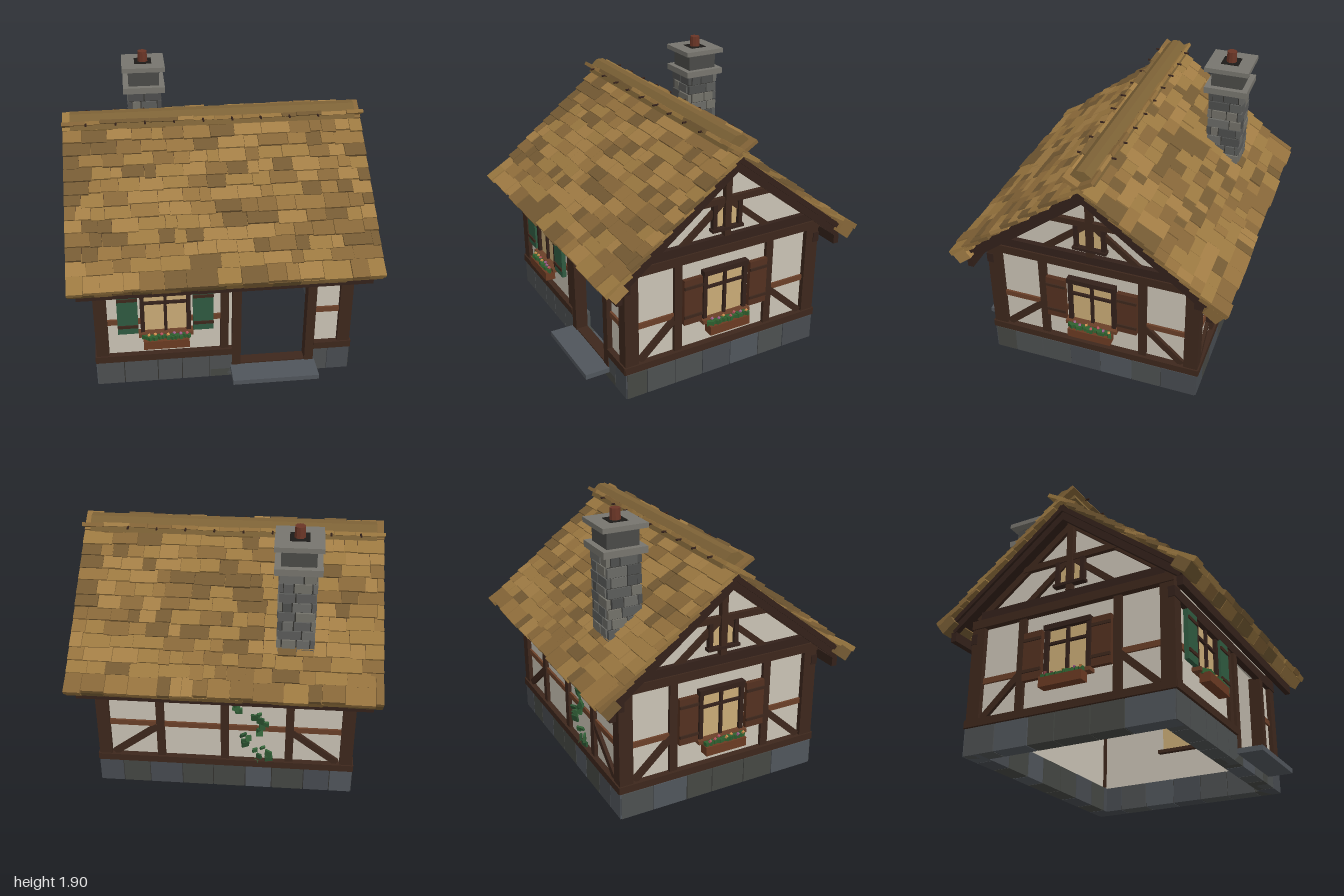
import * as THREE from 'three';
import { mergeGeometries } from 'three/addons/utils/BufferGeometryUtils.js';

const C = {
  timber: 0x3d271c, darkTimber: 0x33211a, rail: 0x6a3f28, plaster: 0xc9c2b4, pane: 0xc9ab76,
  green: 0x2f5a40, red: 0x53301f, planter: 0x6a3a22, leaf: 0x2f6130, ridge: 0x7d6236, black: 0x1c1a18,
  capStone: 0x77756e, collar: 0x4a4a47, mortar: 0x33322f, pot: 0x6a3526,
};
const SHINGLES = [0xa27d45, 0x94713d, 0x866638, 0x745a33, 0x9b7840];
const STONES = [0x474b50, 0x4c4f50, 0x454743, 0x50555b];
const BRICKS = [0x5b5c5a, 0x6a6a66, 0x4d4e4d, 0x737169];

let seed = 7;
const rnd = (a = 0, b = 1) => {
  seed = (seed * 16807) % 2147483647;
  return a + (b - a) * (seed / 2147483647);
};
const pick = (list) => list[Math.floor(rnd(0, list.length))];

const mats = {};
const mat = (color) => (mats[color] ??= new THREE.MeshStandardMaterial({ color, flatShading: true }));

function add(parent, name, geo, color) {
  const m = new THREE.Mesh(geo, mat(color));
  m.name = name;
  parent.add(m);
  return m;
}
// Box given by its minimum and maximum on each axis
function box(parent, name, color, x0, x1, y0, y1, z0, z1) {
  const m = add(parent, name, new THREE.BoxGeometry(x1 - x0, y1 - y0, z1 - z0), color);
  m.position.set((x0 + x1) / 2, (y0 + y1) / 2, (z0 + z1) / 2);
  return m;
}
// Slanted timber lying on a wall
function brace(parent, x0, y0, x1, y1, width = 0.045, depth = 0.025) {
  const m = add(parent, 'brace', new THREE.BoxGeometry(Math.hypot(x1 - x0, y1 - y0), width, depth), C.timber);
  m.position.set((x0 + x1) / 2, (y0 + y1) / 2, depth / 2 - 0.002);
  m.rotation.z = Math.atan2(y1 - y0, x1 - x0);
}
function group(parent, name) {
  const g = new THREE.Group();
  g.name = name;
  parent.add(g);
  return g;
}
// Collects many small boxes and merges them by colour
function pile(parent, name) {
  const byColor = {};
  return {
    put(color, w, h, d, x, y, z, rx = 0, ry = 0) {
      (byColor[color] ??= []).push(new THREE.BoxGeometry(w, h, d).rotateX(rx).rotateY(ry).translate(x, y, z));
    },
    done() {
      for (const c in byColor) add(parent, name, mergeGeometries(byColor[c]), Number(c));
    },
  };
}
// Calls fn(start, end) for uneven pieces filling a length
function pieces(from, to, min, max, fn) {
  let a = from;
  while (a < to - 0.001) {
    let b = a + rnd(min, max);
    if (to - b < min * 0.6) b = to;
    fn(a, b);
    a = b;
  }
}

// Wall frame: x along the wall, z outwards, z = 0 on the plaster face
function wall(parent, name, angle, dist, outline) {
  const g = group(parent, name);
  g.rotation.y = angle;
  g.position.set(Math.sin(angle) * dist, 0, Math.cos(angle) * dist);
  const shape = new THREE.Shape(outline.map(([x, y]) => new THREE.Vector2(x, y)));
  const geo = new THREE.ExtrudeGeometry(shape, { depth: 0.04, bevelEnabled: false });
  add(g, 'plaster', geo.translate(0, 0, -0.04), C.plaster);
  return g;
}

function window_(parent, cx, shutterColor) {
  const g = group(parent, 'window');
  g.position.x = cx;
  box(g, 'pane', C.pane, -0.14, 0.14, 0.42, 0.74, -0.045, 0.012);
  box(g, 'frameTop', C.darkTimber, -0.168, 0.168, 0.735, 0.77, 0, 0.045);
  box(g, 'transom', C.darkTimber, -0.14, 0.14, 0.633, 0.65, 0, 0.03);
  box(g, 'mullion', C.darkTimber, -0.01, 0.01, 0.42, 0.74, 0, 0.03);
  box(g, 'sill', C.rail, -0.18, 0.18, 0.395, 0.42, 0, 0.06);
  box(g, 'innerSill', C.timber, -0.17, 0.17, 0.395, 0.42, -0.08, -0.04);
  for (const s of [-1, 1]) {
    box(g, 'frameSide', C.darkTimber, s * 0.151 - 0.014, s * 0.151 + 0.014, 0.41, 0.75, 0, 0.035);
    box(g, 'shutter', shutterColor, s * 0.247 - 0.067, s * 0.247 + 0.067, 0.42, 0.745, 0.015, 0.045);
    for (const y of [0.48, 0.69])
      box(g, 'shutterBatten', C.timber, s * 0.247 - 0.067, s * 0.247 + 0.067, y - 0.01, y + 0.01, 0.04, 0.054);
  }
  box(g, 'flowerBox', C.planter, -0.15, 0.15, 0.328, 0.39, 0.035, 0.105);
  const plants = pile(g, 'flowers');
  for (let i = 0; i < 14; i++) {
    const x = -0.135 + i * 0.0208;
    plants.put(C.leaf, 0.022, rnd(0.025, 0.04), 0.045, x, 0.4, rnd(0.06, 0.08), 0, rnd(0, 1));
    if (i % 2) plants.put(pick([0xb0505a, 0xc78a4a, 0x9a5a86]), 0.016, 0.016, 0.016, x, 0.42, rnd(0.055, 0.09), 0.5, 0.5);
  }
  plants.done();
}

function frontWall(house) {
  const g = wall(house, 'frontWall', 0, 0.7,
    [[-0.82, 0.1], [0.08, 0.1], [0.08, 0.78], [0.58, 0.78], [0.58, 0.1], [0.82, 0.1], [0.82, 0.95], [-0.82, 0.95]]);
  box(g, 'sillBeam', C.timber, -0.86, 0.05, 0.185, 0.235, -0.01, 0.04);
  box(g, 'sillBeam', C.timber, 0.61, 0.86, 0.185, 0.235, -0.01, 0.04);
  box(g, 'topPlate', C.darkTimber, -0.86, 0.86, 0.76, 0.83, -0.01, 0.035);
  box(g, 'post', C.timber, -0.027, 0.027, 0.235, 0.76, -0.01, 0.025);
  for (const x of [0.08, 0.58]) box(g, 'doorJamb', C.timber, x - 0.03, x + 0.03, 0.09, 0.77, -0.05, 0.035);
  box(g, 'threshold', C.timber, 0.1, 0.56, 0.075, 0.1, -0.05, 0.03);
  for (const [a, b] of [[-0.78, -0.55], [-0.23, -0.02], [0.6, 0.78]])
    box(g, 'midRail', C.rail, a, b, 0.475, 0.513, -0.01, 0.015);
  window_(g, -0.39, C.green);
}

function backWall(house) {
  const g = wall(house, 'backWall', Math.PI, 0.7, [[-0.82, 0.1], [0.82, 0.1], [0.82, 0.95], [-0.82, 0.95]]);
  box(g, 'sillBeam', C.timber, -0.86, 0.86, 0.185, 0.235, -0.01, 0.04);
  box(g, 'topPlate', C.darkTimber, -0.86, 0.86, 0.76, 0.83, -0.01, 0.035);
  box(g, 'midRail', C.rail, -0.78, 0.78, 0.475, 0.513, -0.01, 0.015);
  for (const x of [-0.43, 0, 0.43]) box(g, 'post', C.timber, x - 0.027, x + 0.027, 0.235, 0.76, -0.01, 0.025);
  for (const s of [-1, 1]) brace(g, s * 0.75, 0.24, s * 0.45, 0.475);
  const ivy = pile(g, 'ivy');
  for (let i = 0; i < 22; i++) {
    const y = 0.22 + i * 0.025, size = rnd(0.03, 0.055);
    ivy.put(pick([0x2a5230, 0x336238]), size, size, 0.015, 0.2 + 0.07 * Math.sin(i * 0.6) + rnd(-0.06, 0.06), y,
      0.025, rnd(-0.5, 0.5), rnd(-0.6, 0.6));
  }
  ivy.done();
}

function gableWall(house, side) {
  const g = wall(house, side > 0 ? 'leftGable' : 'rightGable', side * Math.PI / 2, 0.82,
    [[-0.7, 0.1], [0.7, 0.1], [0.7, 0.96], [0, 1.51], [-0.7, 0.96]]);
  box(g, 'sillBeam', C.timber, -0.735, 0.735, 0.185, 0.235, -0.01, 0.045);
  box(g, 'tieBeam', C.timber, -0.73, 0.73, 0.865, 0.925, -0.01, 0.045);
  box(g, 'upperTieBeam', C.darkTimber, -0.67, 0.67, 0.925, 0.985, -0.01, 0.035);
  box(g, 'collarBeam', C.timber, -0.36, 0.36, 1.205, 1.247, -0.01, 0.03);
  box(g, 'kingPost', C.timber, -0.022, 0.022, 0.985, 1.5, -0.01, 0.04);
  box(g, 'atticPane', C.pane, -0.085, 0.085, 1.04, 1.205, -0.045, 0.01);
  box(g, 'atticSill', C.darkTimber, -0.115, 0.115, 1.027, 1.047, 0, 0.045);
  for (const s of [-1, 1]) {
    box(g, 'atticFrame', C.darkTimber, s * 0.092 - 0.014, s * 0.092 + 0.014, 1.03, 1.21, 0, 0.035);
    box(g, 'post', C.timber, s * 0.345 - 0.027, s * 0.345 + 0.027, 0.235, 0.87, -0.01, 0.025);
    const [a, b] = s > 0 ? [0.17, 0.66] : [-0.66, -0.17];
    box(g, 'midRail', C.rail, a, b, 0.475, 0.513, -0.01, 0.015);
    brace(g, s * 0.62, 0.24, s * 0.36, 0.48);
    brace(g, s * 0.32, 0.97, s * 0.01, 1.225, 0.04);
    brace(g, s * 0.7, 0.935, 0, 1.485, 0.05);
  }
  window_(g, 0, C.red);
}

function foundation(house) {
  const g = group(house, 'foundation');
  const stones = pile(g, 'foundationStones');
  const put = (w, h, d, x, z) => stones.put(pick(STONES), w, h, d, x, h / 2, z);
  for (const s of [-1, 1]) {
    pieces(-0.86, 0.86, 0.15, 0.24, (a, b) => {
      const low = s > 0 && a < 0.56 && b > 0.1;
      if (!low) return put(b - a - 0.006, 0.178, 0.12, (a + b) / 2, s * 0.67);
      // Stones under the doorway are cut low
      put(b - a - 0.006, 0.06, 0.12, (a + b) / 2, s * 0.67);
      if (a < 0.07) box(g, 'doorStone', STONES[1], a, 0.07, 0, 0.178, 0.61, 0.73);
      if (b > 0.59) box(g, 'doorStone', STONES[1], 0.59, b, 0, 0.178, 0.61, 0.73);
    });
    pieces(-0.725, 0.725, 0.18, 0.25, (a, b) => put(0.12, 0.178, b - a - 0.006, s * 0.802, (a + b) / 2));
    box(g, 'mortar', C.mortar, s * 0.8 - 0.05, s * 0.8 + 0.05, 0.002, 0.172, -0.72, 0.72);
  }
  stones.done();
  box(g, 'mortar', C.mortar, -0.85, 0.85, 0.002, 0.172, -0.72, -0.62);
  box(g, 'mortar', C.mortar, -0.85, 0.06, 0.002, 0.172, 0.62, 0.72);
  box(g, 'mortar', C.mortar, 0.6, 0.85, 0.002, 0.172, 0.62, 0.72);
  box(g, 'doorStep', STONES[3], 0.04, 0.62, 0.058, 0.092, 0.7, 0.9);
}

// One roof slope: local z runs down the slope, y is its normal
function roofSlope(house, name, turn) {
  const side = group(house, name);
  side.rotation.y = turn;
  const g = group(side, 'slope');
  g.position.y = 1.62;
  g.rotation.x = Math.atan(0.785);
  box(g, 'roofDeck', C.darkTimber, -0.97, 0.97, -0.085, -0.055, 0.03, 1.1);
  for (const x of [-0.935, 0.935]) box(g, 'bargeBoard', C.darkTimber, x - 0.018, x + 0.018, -0.13, -0.05, 0.06, 1.125);
  box(side, 'eaveBoard', C.darkTimber, -0.95, 0.95, 0.765, 0.83, 0.79, 0.83);
  const tiles = pile(g, 'shingles');
  pieces(-1, 1, 0.1, 0.2, (a, b) =>
    tiles.put(pick(SHINGLES), b - a - 0.002, 0.075, 0.11, (a + b) / 2, -0.067, 1.12 + rnd(-0.004, 0.004)));
  for (let row = 0; row < 13; row++) {
    const end = 1.185 - row * 0.091 - (row ? 0.03 : 0), len = row ? 0.15 : 0.2;
    pieces(-1, 1, 0.07, 0.2, (a, b) => tiles.put(pick(SHINGLES), b - a - 0.003, row ? 0.024 : 0.035, len,
      (a + b) / 2, -0.026 + rnd(-0.004, 0.006), end - len / 2 + rnd(-0.012, 0.006), -0.13));
  }
  tiles.done();
}

function ridge(house) {
  const g = group(house, 'ridge');
  const half = [[0.088, 1.595], [0.07, 1.643], [0.025, 1.682]];
  const pts = [...half, ...half.map(([x, y]) => [-x, y]).reverse()].map(([x, y]) => new THREE.Vector2(x, y));
  const geo = new THREE.ExtrudeGeometry(new THREE.Shape(pts), { depth: 1.89, bevelEnabled: false });
  add(g, 'ridgeCap', geo.rotateY(Math.PI / 2).translate(-0.945, 0, 0), C.ridge);
  for (let i = 0; i < 9; i++) {
    const peg = add(g, 'ridgePeg', new THREE.CylinderGeometry(0.007, 0.007, 0.25, 6).rotateX(Math.PI / 2), C.darkTimber);
    peg.position.set(-0.84 + i * 0.191, 1.64, 0);
  }
}

function chimney(house) {
  const g = group(house, 'chimney');
  g.position.set(-0.443, 0, -0.535);
  const block = (name, color, r, y0, y1) => box(g, name, color, -r, r, y0, y1, -r, r);
  block('mortarCore', C.mortar, 0.108, 1.03, 1.64);
  const bricks = pile(g, 'bricks');
  // Courses alternate which faces own the corners
  for (let row = 0; row < 9; row++) {
    const y = 1.065 + row * 0.067;
    for (const s of [-1, 1]) for (const alongX of [true, false]) {
      const e = alongX === (row % 2 === 0) ? 0.118 : 0.09;
      const cut = rnd(-0.05, 0.05);
      for (const [a, b] of [[-e, cut], [cut, e]]) {
        const w = b - a - 0.008, c = (a + b) / 2, out = s * (0.104 + rnd(0, 0.004));
        bricks.put(pick(BRICKS), alongX ? w : 0.028, 0.06, alongX ? 0.028 : w, alongX ? c : out, y, alongX ? out : c);
      }
    }
  }
  bricks.done();
  block('lowerCollar', C.capStone, 0.147, 1.637, 1.68);
  block('neck', C.collar, 0.108, 1.68, 1.778);
  block('neckTop', C.mortar, 0.09, 1.778, 1.796);
  block('capSlab', C.capStone, 0.15, 1.794, 1.826);
  block('flue', C.black, 0.06, 1.8, 1.829);
  const pot = add(g, 'chimneyPot', new THREE.CylinderGeometry(0.033, 0.036, 0.08, 10), C.pot);
  pot.position.y = 1.861;
}

export function createModel() {
  seed = 7;
  const house = new THREE.Group();
  house.name = 'cottage';
  foundation(house);
  frontWall(house);
  backWall(house);
  for (const s of [-1, 1]) {
    gableWall(house, s);
    for (const t of [-1, 1])
      box(house, 'cornerPost', C.timber, Math.min(s * 0.77, s * 0.855), Math.max(s * 0.77, s * 0.855), 0.2, 0.87,
        Math.min(t * 0.635, t * 0.73), Math.max(t * 0.635, t * 0.73));
  }
  roofSlope(house, 'frontRoof', 0);
  roofSlope(house, 'backRoof', Math.PI);
  ridge(house);
  chimney(house);
  return house;
}
